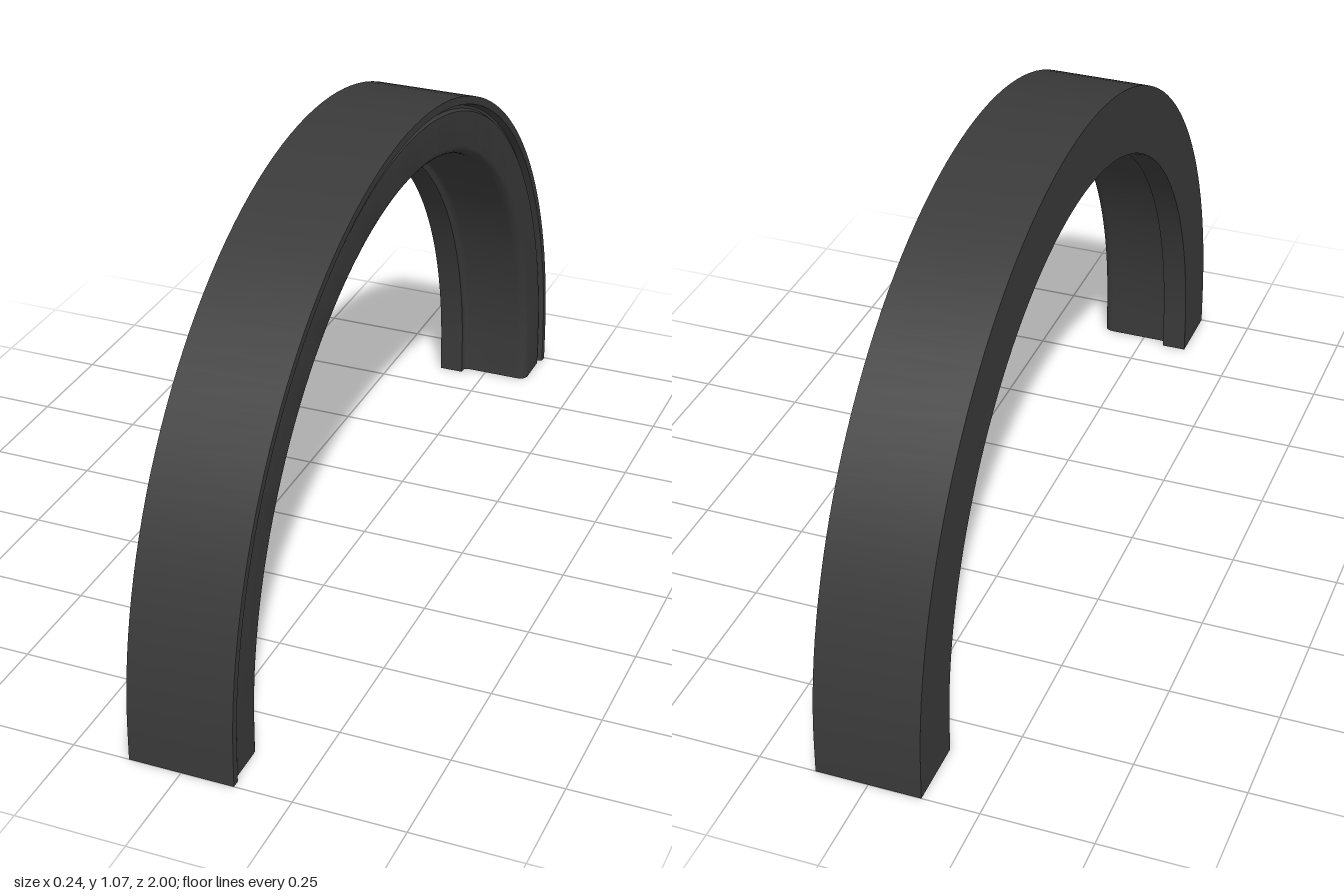
import * as THREE from 'three';
import { toCreasedNormals } from 'three/addons/utils/BufferGeometryUtils.js';

const SPRING = 0.073; // height of the straight foot below the half circle
const SEGMENTS = 72;

// Moulding cross-section: (x, radius), counter-clockwise
function mouldingSection() {
  const s = new THREE.Shape();
  s.moveTo(-0.12, 0.84);
  s.lineTo(-0.06, 0.84); // inner stop band
  s.lineTo(-0.06, 0.852);
  s.quadraticCurveTo(-0.058, 0.862, -0.045, 0.862); // small cove
  s.lineTo(0.085, 0.862); // inner face
  s.quadraticCurveTo(0.112, 0.862, 0.112, 0.885); // rounded corner
  s.lineTo(0.112, 0.964); // side face
  s.lineTo(0.104, 0.969); // groove
  s.lineTo(0.104, 0.976);
  s.lineTo(0.12, 0.981); // outer lip
  s.lineTo(0.12, 1);
  s.lineTo(-0.12, 1);
  return s.extractPoints(6).shape;
}

// Sweep the section up one foot, round the half circle and down the other foot
function sweepArch(section) {
  const stations = [{ a: 0, y: 0 }];
  for (let i = 0; i <= SEGMENTS; i++) stations.push({ a: (Math.PI * i) / SEGMENTS, y: SPRING });
  stations.push({ a: Math.PI, y: 0 });

  const n = section.length;
  const positions = [];
  const index = [];
  for (const { a, y } of stations) {
    for (const p of section) positions.push(p.x, y + p.y * Math.sin(a), p.y * Math.cos(a));
  }
  for (let i = 0; i < stations.length - 1; i++) {
    for (let j = 0; j < n; j++) {
      const p = i * n + j;
      const q = i * n + ((j + 1) % n);
      index.push(p, p + n, q, q, p + n, q + n);
    }
  }
  // End caps
  const last = (stations.length - 1) * n;
  for (const [a, b, c] of THREE.ShapeUtils.triangulateShape(section, [])) {
    index.push(a, b, c, last + a, last + c, last + b);
  }
  const geometry = new THREE.BufferGeometry();
  geometry.setAttribute('position', new THREE.Float32BufferAttribute(positions, 3));
  geometry.setIndex(index);
  return toCreasedNormals(geometry, 0.5);
}

export function createModel() {
  const model = new THREE.Group();
  model.name = 'archMoulding';
  const material = new THREE.MeshStandardMaterial({ color: 0x3a3a3a });
  const arch = new THREE.Mesh(sweepArch(mouldingSection()), material);
  arch.name = 'archTrim';
  model.add(arch);
  return model;
}
